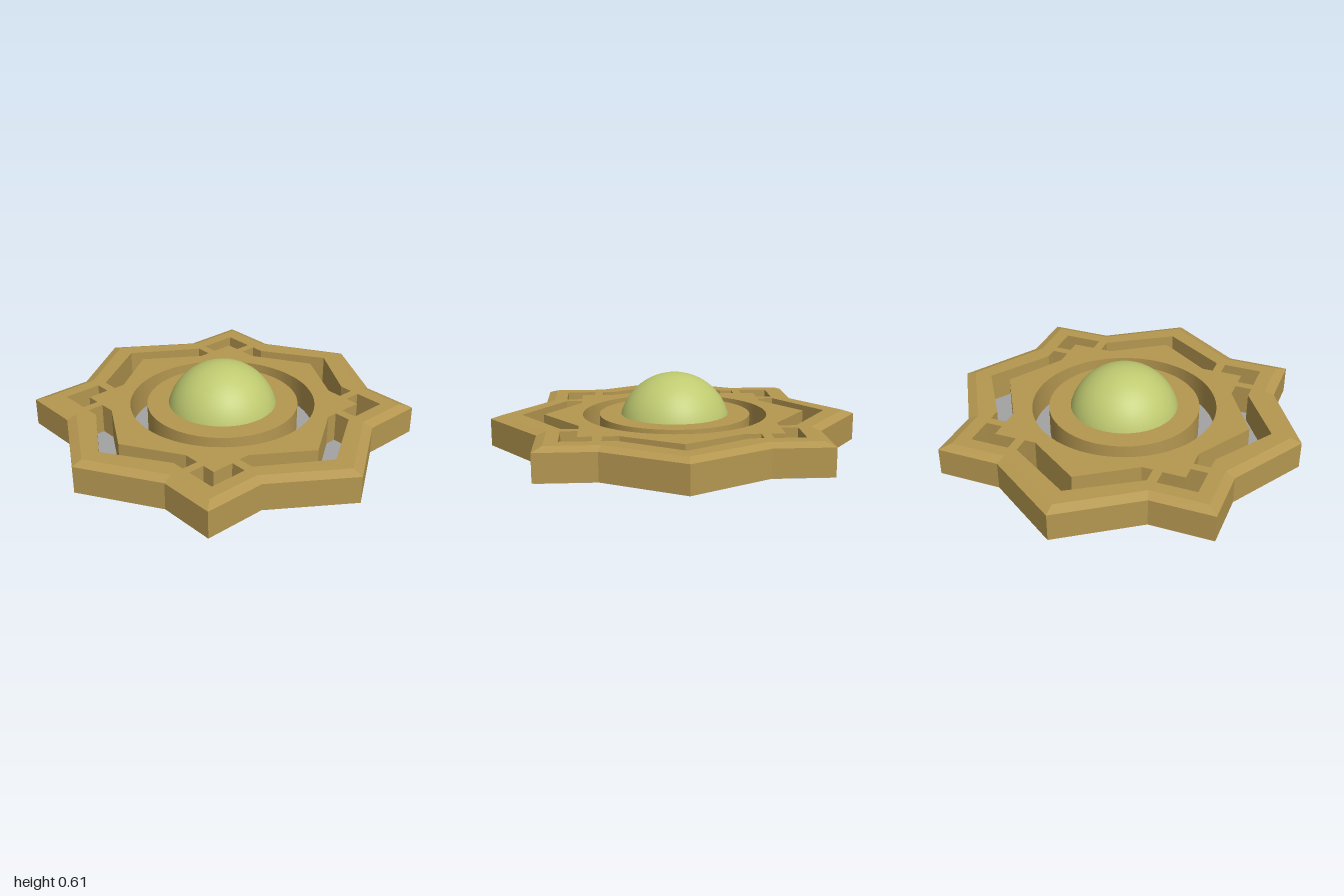
import * as THREE from 'three';
import { toCreasedNormals } from 'three/addons/utils/BufferGeometryUtils.js';

const BOTTOM = 0.217, SHOULDER = 0.365, TOP = 0.385;
const vec = ([x, y]) => new THREE.Vector2(x, y);

// Eight-pointed star outline, counter-clockwise, one quadrant turned into four
function starOutline() {
  const quadrant = [[0.98, 0], [0.737, 0.412], [0.737, 0.725], [0.4, 0.725], [0, 1]];
  const left = quadrant.slice(0, 4).reverse().map(([x, y]) => [-x, y]);
  const half = [...quadrant, ...left];
  const lower = half.slice(1, -1).reverse().map(([x, y]) => [x, -y]);
  return [...half, ...lower].map(vec);
}

// Moves every edge of an outline inward by t, with mitred corners
function inset(points, t) {
  const n = points.length;
  const normal = (a, b) => new THREE.Vector2(a.y - b.y, b.x - a.x).normalize();
  return points.map((p, i) => {
    const n1 = normal(points[(i + n - 1) % n], p);
    const n2 = normal(p, points[(i + 1) % n]);
    return p.clone().addScaledVector(n1.clone().add(n2), t / (1 + n1.dot(n2)));
  });
}

// Extrudes a plan shape upward between two heights
function slab(shape, y0, y1) {
  const geo = new THREE.ExtrudeGeometry(shape, { depth: y1 - y0, bevelEnabled: false, curveSegments: 40 });
  geo.rotateX(-Math.PI / 2).translate(0, y0, 0);
  return toCreasedNormals(geo, 0.5);
}

// Closed band around the star: underside, vertical wall and sloping top edge
function rimGeometry(outer, inner) {
  const rings = [[inner, BOTTOM], [outer, BOTTOM], [outer, SHOULDER], [inner, TOP]];
  const positions = [];
  const n = outer.length;
  for (let r = 0; r < 3; r++) {
    for (let i = 0; i < n; i++) {
      const j = (i + 1) % n;
      const at = (k, q) => [rings[k][0][q].x, rings[k][1], -rings[k][0][q].y];
      const a = at(r, i), b = at(r, j), c = at(r + 1, j), d = at(r + 1, i);
      positions.push(...a, ...b, ...c, ...a, ...c, ...d);
    }
  }
  const geo = new THREE.BufferGeometry();
  geo.setAttribute('position', new THREE.Float32BufferAttribute(positions, 3));
  geo.computeVertexNormals();
  return geo;
}

// Cut-outs: chevrons behind the tips and angle slots in the corners
function pockets() {
  const endChevron = [[0, 0.83], [0.35, 0.605], [0.35, 0.515], [0.29, 0.515], [0, 0.713],
    [-0.29, 0.515], [-0.35, 0.515], [-0.35, 0.605]];
  const sideChevron = [[0.82, 0], [0.61, 0.325], [0.61, 0.395], [0.52, 0.395], [0.52, 0.31],
    [0.702, 0], [0.52, -0.31], [0.52, -0.395], [0.61, -0.395], [0.61, -0.325]];
  const angle = [[0.4, 0.605], [0.61, 0.605], [0.61, 0.443], [0.52, 0.443], [0.52, 0.517], [0.4, 0.517]];
  const flip = (pts, sx, sy) => pts.map(([x, y]) => [x * sx, y * sy]);
  const list = [endChevron, flip(endChevron, 1, -1), sideChevron, flip(sideChevron, -1, 1)];
  for (const sx of [1, -1]) for (const sy of [1, -1]) list.push(flip(angle, sx, sy));
  return list.map((pts) => new THREE.Path(pts.map(vec)));
}

export function createModel() {
  const material = (name, color) => {
    const m = new THREE.MeshStandardMaterial({ color });
    m.name = name;
    return m;
  };
  const gold = material('gold', 0xb59750);
  const grey = material('grey', 0xa3a3a3);
  const green = material('pale green', 0xbfca70);

  const model = new THREE.Group();
  model.name = 'starMedallion';
  const add = (name, geo, mat) => {
    const mesh = new THREE.Mesh(geo, mat);
    mesh.name = name;
    model.add(mesh);
    return mesh;
  };

  const outer = starOutline();
  const inner = inset(outer, 0.05);

  // Pierced star with a round opening for the hub
  const star = new THREE.Shape(inner);
  star.holes.push(...pockets(), new THREE.Path().absarc(0, 0, 0.502, 0, Math.PI * 2, true));
  add('starBody', slab(star, BOTTOM, TOP), gold);
  add('bevelledRim', rimGeometry(outer, inner), gold);

  // Round collar holding the sphere
  const collar = new THREE.Shape().absarc(0, 0, 0.41, 0, Math.PI * 2, false);
  add('collar', slab(collar, BOTTOM, TOP), gold);

  // Thin sheet closing the underside
  add('backPlate', slab(new THREE.Shape(inset(outer, 0.008)), 0.213, 0.222), grey);

  // Central gem
  add('sphere', new THREE.SphereGeometry(0.304, 48, 32), green).position.y = 0.304;

  return model;
}
